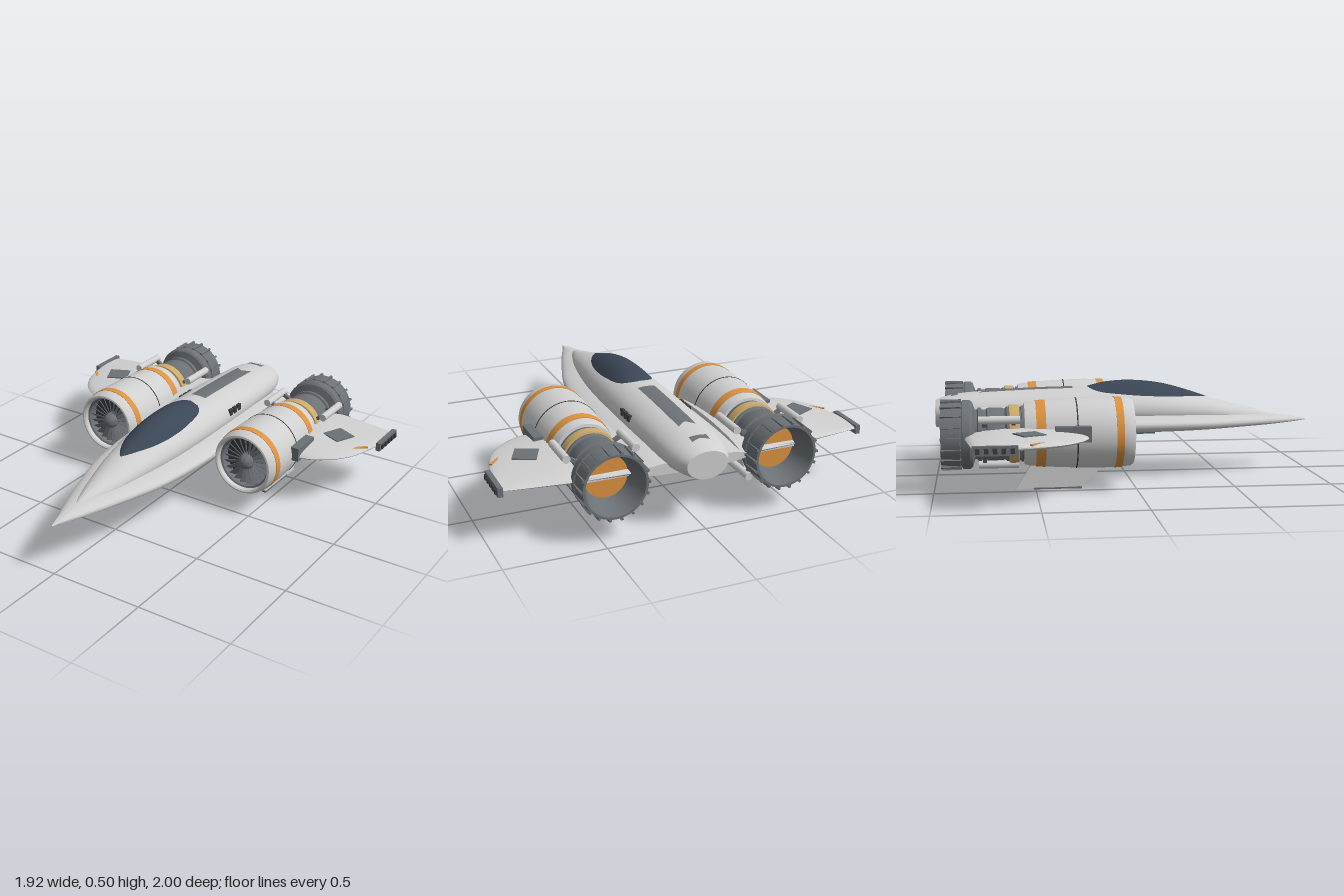
import * as THREE from 'three';
import { toCreasedNormals } from 'three/addons/utils/BufferGeometryUtils.js';

const mat = (name, color) => Object.assign(new THREE.MeshStandardMaterial({ color }), { name });
const hull = mat('light hull', 0xcfcfcf);
const dark = mat('dark metal', 0x6c7176);
const glass = mat('canopy glass', 0x3b4656);
const orange = mat('orange trim', 0xdb9140);
const gold = mat('gold band', 0xcbaa6a);
const black = mat('seam', 0x3a3c3f);
const teal = mat('belly strip', 0x4c6266);

const ENGINE_X = 0.44, ENGINE_Y = 0.29;

function add(parent, name, geo, material, x = 0, y = 0, z = 0) {
  const m = new THREE.Mesh(geo, material);
  m.name = name;
  m.position.set(x, y, z);
  parent.add(m);
  return m;
}
const box = (p, name, m, w, h, d, x, y, z) => add(p, name, new THREE.BoxGeometry(w, h, d), m, x, y, z);

// Smooth interpolation of a table of [key, value, value...] with rising keys
function sample(table, t, col = 1) {
  const n = table.length - 1;
  if (t <= table[0][0]) return table[0][col];
  if (t >= table[n][0]) return table[n][col];
  let i = 0;
  while (table[i + 1][0] < t) i++;
  const slope = (k) => {
    const a = table[Math.max(k - 1, 0)], b = table[Math.min(k + 1, n)];
    return (b[col] - a[col]) / (b[0] - a[0]);
  };
  const h = table[i + 1][0] - table[i][0], u = (t - table[i][0]) / h;
  const u2 = u * u, u3 = u2 * u;
  return (2 * u3 - 3 * u2 + 1) * table[i][col] + (u3 - 2 * u2 + u) * h * slope(i)
    + (3 * u2 - 2 * u3) * table[i + 1][col] + (u3 - u2) * h * slope(i + 1);
}

// Closed skin over rings of [x, y, z] points, with end caps, turned outward
function loft(rings, crease = 0.7) {
  const n = rings[0].length, pos = rings.flat(), tris = [];
  for (let i = 0; i < rings.length - 1; i++)
    for (let j = 0; j < n; j++) {
      const a = i * n + j, b = i * n + (j + 1) % n;
      tris.push([a, b, a + n], [b, b + n, a + n]);
    }
  const last = (rings.length - 1) * n;
  for (let j = 1; j < n - 1; j++) tris.push([0, j + 1, j], [last, last + j, last + j + 1]);
  const v = pos.map((p) => new THREE.Vector3(...p));
  const volume = tris.reduce((s, [a, b, c]) => s + v[a].dot(v[b].clone().cross(v[c])), 0);
  const g = new THREE.BufferGeometry();
  g.setAttribute('position', new THREE.Float32BufferAttribute(pos.flat(), 3));
  g.setIndex(tris.flatMap((t) => (volume < 0 ? [t[0], t[2], t[1]] : t)));
  return toCreasedNormals(g, crease);
}

// Surface of revolution about z from [radius, z] points (outer skin runs toward +z)
function turned(points, segments = 48) {
  const g = new THREE.LatheGeometry(points.map((p) => new THREE.Vector2(...p)), segments);
  g.rotateX(Math.PI / 2);
  return toCreasedNormals(g, 0.6);
}

// Upper fuselage: z, half width, top y, centre y, bottom y
const SPINE = [
  [-1, 0.105, 0.41, 0.345, 0.27], [-0.96, 0.127, 0.427, 0.346, 0.262], [-0.85, 0.155, 0.447, 0.35, 0.25],
  [-0.5, 0.168, 0.465, 0.35, 0.25], [-0.2, 0.168, 0.47, 0.35, 0.25], [0, 0.165, 0.466, 0.35, 0.25],
  [0.2, 0.152, 0.45, 0.345, 0.25], [0.43, 0.117, 0.41, 0.33, 0.26], [0.6, 0.08, 0.368, 0.31, 0.265],
  [0.75, 0.035, 0.33, 0.295, 0.27], [0.83, 0.003, 0.3, 0.285, 0.28],
];
// Lower blended body: z, half width, top y, edge y, bottom y
const CHINE = [
  [-0.86, 0.29, 0.32, 0.29, 0.255], [-0.6, 0.29, 0.34, 0.29, 0.238], [0, 0.262, 0.34, 0.29, 0.235],
  [0.2, 0.245, 0.338, 0.288, 0.236], [0.4, 0.212, 0.332, 0.285, 0.24], [0.6, 0.15, 0.323, 0.282, 0.247],
  [0.8, 0.08, 0.31, 0.279, 0.256], [0.93, 0.028, 0.294, 0.277, 0.266], [1, 0.002, 0.279, 0.277, 0.274],
];
function bodyLoft(table, flat) {
  const rings = [], z0 = table[0][0], z1 = table[table.length - 1][0];
  for (let i = 0; i <= 48; i++) {
    const z = z0 + (z1 - z0) * i / 48, [w, top, mid, low] = [1, 2, 3, 4].map((c) => sample(table, z, c));
    rings.push(Array.from({ length: 40 }, (_, j) => {
      const a = j / 40 * Math.PI * 2, s = Math.sin(a);
      return [w * Math.cos(a), s > 0 ? mid + (top - mid) * s : mid - (mid - low) * Math.pow(-s, flat), z];
    }));
  }
  return loft(rings);
}

// Patch laid over the spine, width(z) wide, raised by lift(u) with u from -1 to 1 across
function drape(z0, z1, width, lift, shift = () => 0) {
  const g = new THREE.PlaneGeometry(2, 1, 20, 40).rotateX(-Math.PI / 2), p = g.attributes.position;
  for (let i = 0; i < p.count; i++) {
    const u = p.getX(i), t = p.getZ(i) + 0.5, zs = z0 + (z1 - z0) * t, x = u * width(zs);
    const z = zs + shift(u, t), [w, top, mid] = [1, 2, 3].map((c) => sample(SPINE, z, c));
    p.setXYZ(i, x, mid + (top - mid) * Math.sqrt(Math.max(0, 1 - (x / w) ** 2)) + lift(u, zs), z);
  }
  g.computeVertexNormals();
  return g;
}

// Wing: x, leading edge z, trailing edge z, half thickness
const WING = [[0.25, -0.1, -0.86, 0.045], [0.6, -0.235, -0.845, 0.042], [0.72, -0.272, -0.832, 0.032],
  [0.82, -0.345, -0.82, 0.023], [0.88, -0.43, -0.812, 0.017], [0.915, -0.53, -0.806, 0.013], [0.935, -0.62, -0.8, 0.011]];
function buildWing(s) {
  const g = new THREE.Group();
  g.name = s > 0 ? 'leftWing' : 'rightWing';
  const rings = [];
  for (let i = 0; i <= 30; i++) {
    const x = 0.25 + 0.685 * i / 30, [le, te, t] = [1, 2, 3].map((c) => sample(WING, x, c));
    rings.push(Array.from({ length: 28 }, (_, j) => {
      const a = j / 28 * Math.PI * 2;
      return [s * x, 0.293 + t * Math.sin(a), (le + te) / 2 + (le - te) / 2 * Math.cos(a)];
    }));
  }
  add(g, 'wingPanel', loft(rings), hull);
  box(g, 'wingHatch', dark, 0.118, 0.006, 0.118, s * 0.735, 0.33, -0.54).rotation.y = -s * 0.43;
  box(g, 'edgeStripe', orange, 0.1, 0.009, 0.014, s * 0.872, 0.305, -0.505).rotation.y = s * Math.PI / 4;
  box(g, 'tipPod', dark, 0.025, 0.045, 0.21, s * 0.94, 0.288, -0.705);
  for (let i = 0; i < 5; i++) box(g, 'tipStud', black, 0.012, 0.025, 0.02, s * 0.955, 0.288, -0.625 - i * 0.04);
  return g;
}

const NACELLE = [[0.125, -0.56], [0.152, -0.555], [0.158, -0.53], [0.166, -0.45], [0.174, -0.3], [0.177, -0.18],
  [0.174, -0.07], [0.169, -0.03], [0.162, -0.017], [0.154, -0.015], [0.147, -0.022], [0.142, -0.05], [0.141, -0.12]];
const skin = NACELLE.slice(1, 9).map(([r, z]) => [z, r]);

function buildEngine(s) {
  const g = new THREE.Group();
  g.name = s > 0 ? 'leftEngine' : 'rightEngine';
  g.position.set(s * ENGINE_X, ENGINE_Y, 0);
  add(g, 'nacelle', turned(NACELLE, 64), hull);
  const band = (name, m, z0, z1, out) => {
    const pts = Array.from({ length: 5 }, (_, i) => z0 + (z1 - z0) * i / 4).map((z) => [sample(skin, z) + out, z]);
    add(g, name, turned([[0.15, z0], ...pts, [0.15, z1]], 64), m);
  };
  band('frontBand', orange, -0.11, -0.073, 0.002);
  band('rearBand', orange, -0.5, -0.453, 0.002);
  band('nacelleSeam', black, -0.303, -0.297, 0.0015);

  // Intake fan
  add(g, 'fanBack', new THREE.CircleGeometry(0.143, 48), black, 0, 0, -0.1);
  add(g, 'fanRing', turned([[0.143, -0.04], [0.134, -0.045], [0.134, -0.1]]), dark);
  add(g, 'spinner', turned([[0.042, -0.1], [0.042, -0.06], [0.034, -0.04], [0.018, -0.027], [0, -0.022]], 32), dark);
  for (let i = 0; i < 22; i++) {
    const b = new THREE.BoxGeometry(0.102, 0.004, 0.04), p = b.attributes.position;
    for (let k = 0; k < p.count; k++) if (p.getX(k) < 0) p.setZ(k, p.getZ(k) * 0.5);
    b.rotateX(0.75).translate(0.087, 0, 0).rotateZ(i / 22 * Math.PI * 2);
    add(g, 'fanBlade', b, dark, 0, 0, -0.075);
  }

  // Core, collars and gold band
  add(g, 'core', turned([[0.1, -0.81], [0.122, -0.8], [0.122, -0.785], [0.132, -0.78], [0.132, -0.765], [0.122, -0.76],
    [0.122, -0.74], [0.13, -0.735], [0.13, -0.66], [0.124, -0.65], [0.134, -0.64], [0.134, -0.575], [0.128, -0.57], [0.128, -0.55]]), dark);
  add(g, 'goldBand', turned([[0.13, -0.632], [0.143, -0.628], [0.145, -0.605], [0.143, -0.582], [0.13, -0.578]]), gold);
  add(g, 'collar', turned([[0.12, -0.572], [0.138, -0.57], [0.138, -0.558], [0.12, -0.555]]), dark);

  // Exhaust nozzle
  add(g, 'nozzle', turned([[0.105, -0.82], [0.15, -0.96], [0.162, -0.96], [0.168, -0.875], [0.168, -0.868], [0.163, -0.865],
    [0.163, -0.858], [0.17, -0.855], [0.169, -0.82], [0.16, -0.808], [0.12, -0.795]]), dark);
  for (let i = 0; i < 18; i++) {
    const rib = new THREE.BoxGeometry(0.012, 0.012, 0.1).translate(0.168, 0, -0.912).rotateZ(i / 18 * Math.PI * 2);
    add(g, 'nozzleRib', rib, dark);
  }
  add(g, 'burner', new THREE.CircleGeometry(0.11, 40).rotateY(Math.PI), orange, 0, 0, -0.832);
  box(g, 'burnerStrut', hull, 0.22, 0.022, 0.012, 0, 0, -0.84);

  // Side cylinders with clamps
  for (const deg of [28, 152, s > 0 ? 240 : 300]) {
    const a = deg * Math.PI / 180, x = 0.196 * Math.cos(a), y = 0.196 * Math.sin(a);
    add(g, 'actuator', new THREE.CylinderGeometry(0.02, 0.02, 0.2, 20).rotateX(Math.PI / 2), hull, x, y, -0.68);
    for (const z of [-0.61, -0.75])
      add(g, 'clamp', new THREE.BoxGeometry(0.07, 0.018, 0.02).translate(0.155, 0, z).rotateZ(a), dark);
  }

  // Side intake box and ventral fin
  box(g, 'sideBox', dark, 0.05, 0.075, 0.175, s * 0.187, 0.02, -0.325);
  const fin = new THREE.Shape([[-0.15, -0.16], [-0.27, -0.27], [-0.6, -0.28], [-0.51, -0.14]].map((p) => new THREE.Vector2(...p)));
  const finGeo = new THREE.ExtrudeGeometry(fin, { depth: 0.02, bevelEnabled: false }).rotateY(-Math.PI / 2).translate(0.01, 0, 0);
  add(g, 'ventralFin', finGeo, hull);
  box(g, 'finSkid', dark, 0.024, 0.008, 0.24, 0, -0.277, -0.39);
  return g;
}

export function createModel() {
  const model = new THREE.Group();
  model.name = 'starfighter';
  add(model, 'lowerBody', bodyLoft(CHINE, 0.6), hull);
  add(model, 'upperFuselage', bodyLoft(SPINE, 1), hull);

  // Canopy
  const outline = [[-0.2, 0.004], [-0.193, 0.04], [-0.17, 0.075], [-0.12, 0.1], [0, 0.114], [0.1, 0.115], [0.2, 0.105],
    [0.3, 0.08], [0.38, 0.045], [0.42, 0.022], [0.445, 0.002]];
  const bulge = [[-0.2, 0.002], [-0.1, 0.025], [0.03, 0.037], [0.2, 0.033], [0.35, 0.016], [0.445, 0.002]];
  add(model, 'canopy', drape(-0.2, 0.445, (z) => sample(outline, z), (u, z) => 0.003 + sample(bulge, z) * (1 - u * u)), glass);

  // Dorsal panels with notched ends
  const lift = () => 0.004;
  add(model, 'dorsalPanel', drape(-0.775, -0.28, () => 0.046, lift, (u, t) => 0.035 * (1 - Math.abs(u)) * (1 - t)), dark);
  add(model, 'tailPanel', drape(-0.925, -0.885, () => 0.046, lift, (u, t) => 0.015 * (1 - Math.abs(u)) * (1 - t)), dark);

  for (const s of [1, -1]) {
    for (let i = 0; i < 3; i++) box(model, 'sideVent', black, 0.016, 0.035, 0.028, s * 0.162, 0.385, -0.36 - i * 0.042);
    box(model, 'bellyStrip', teal, 0.016, 0.012, 0.7, s * 0.11, 0.234, -0.2);
    model.add(buildWing(s), buildEngine(s));
  }
  return model;
}
